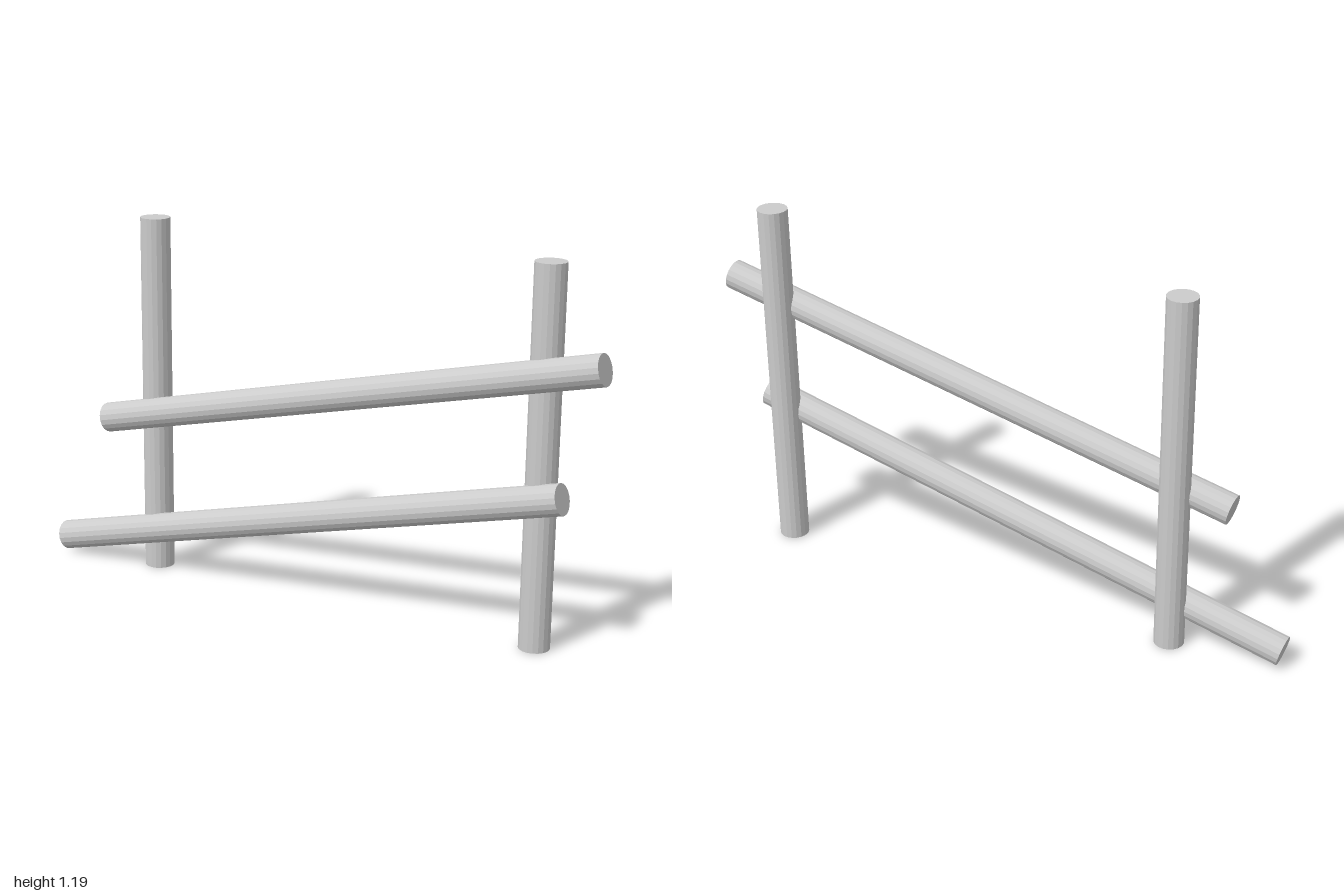
import * as THREE from 'three';

const RADIUS = 0.049;
const SIDES = 18;

// Round pole running between the centres of its two ends
function pole(name, start, end, material) {
  const a = new THREE.Vector3(...start);
  const b = new THREE.Vector3(...end);
  const axis = b.clone().sub(a);
  const mesh = new THREE.Mesh(
    new THREE.CylinderGeometry(RADIUS, RADIUS, axis.length(), SIDES), material);
  mesh.position.copy(a).add(b).multiplyScalar(0.5);
  mesh.quaternion.setFromUnitVectors(new THREE.Vector3(0, 1, 0), axis.normalize());
  mesh.name = name;
  return mesh;
}

export function createModel() {
  const group = new THREE.Group();
  group.name = 'slopedFence';
  const wood = new THREE.MeshStandardMaterial({ color: 0xcccccc, flatShading: true });

  // Two posts, leaning very slightly
  const postZ = -0.022;
  for (const [name, x] of [['rightPost', -0.628], ['leftPost', 0.775]]) {
    group.add(pole(name, [x, 0.001, postZ], [x + 0.013, 1.194, postZ], wood));
  }

  // Two sloping rails, set partly into the front of the posts
  const railZ = 0.024;
  group.add(pole('lowerRail', [-0.988, 0.052, railZ], [0.87, 0.503, railZ], wood));
  group.add(pole('upperRail', [-0.793, 0.505, railZ], [0.987, 0.909, railZ], wood));

  return group;
}
